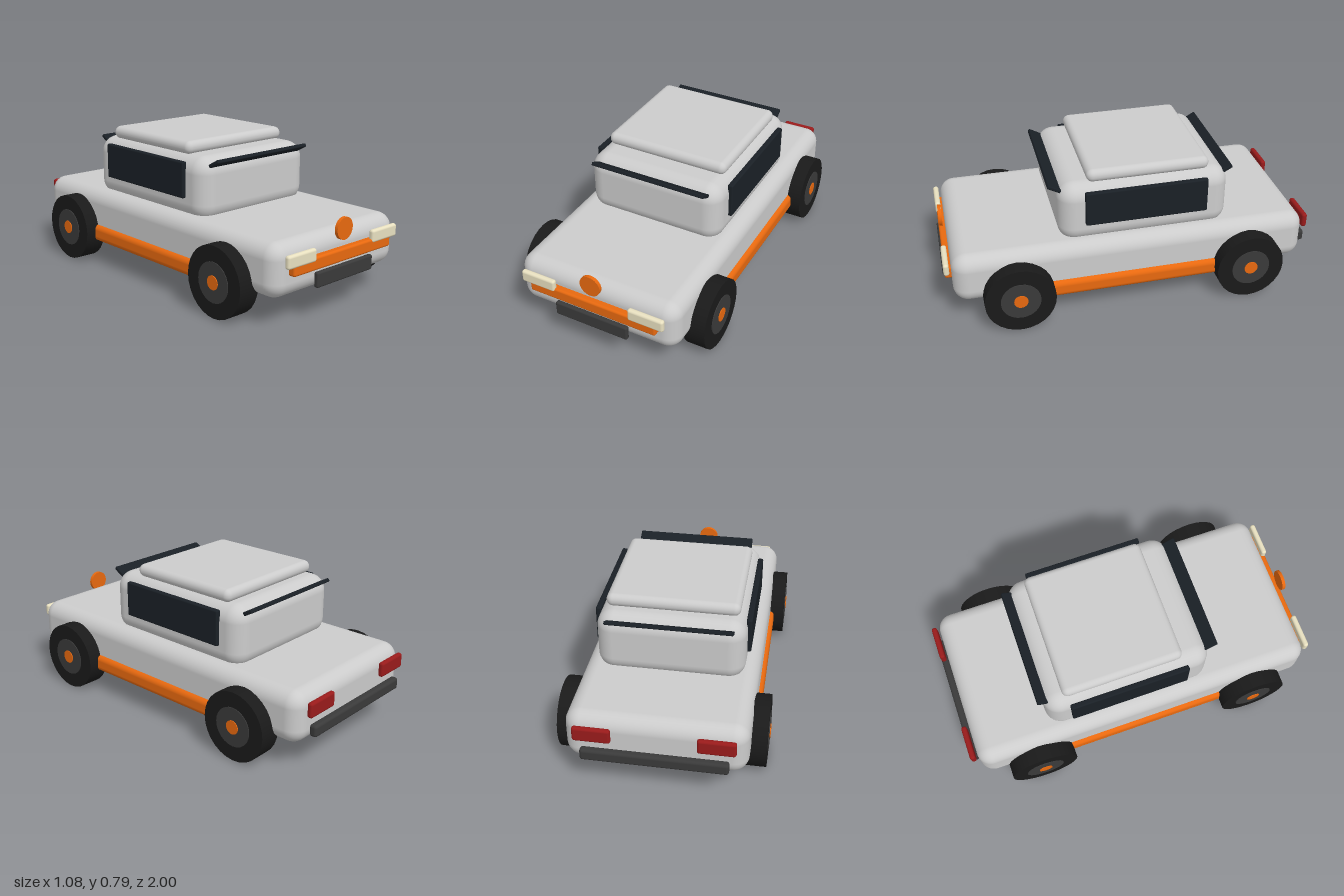
import * as THREE from 'three';
import { RoundedBoxGeometry } from 'three/addons/geometries/RoundedBoxGeometry.js';

const mat = (color) => new THREE.MeshStandardMaterial({ color });
const grey = mat(0xcccccc);
const orange = mat(0xe8690f);
const glass = mat(0x1a2026);
const rubber = mat(0x1a1a1a);
const darkGrey = mat(0x3a3a3a);
const cream = mat(0xe8e0c0);
const red = mat(0x991b1b);

export function createModel() {
  const root = new THREE.Group();
  root.name = 'car';

  const add = (name, geometry, material, parent = root) => {
    const mesh = new THREE.Mesh(geometry, material);
    mesh.name = name;
    parent.add(mesh);
    return mesh;
  };

  // Rounded box given by its [min, max] extent on each axis
  const block = (name, [x0, x1], [y0, y1], [z0, z1], radius, material, segments = 3) => {
    const geometry = new RoundedBoxGeometry(x1 - x0, y1 - y0, z1 - z0, segments, radius);
    const mesh = add(name, geometry, material);
    mesh.position.set((x0 + x1) / 2, (y0 + y1) / 2, (z0 + z1) / 2);
    return mesh;
  };

  // Bodywork
  block('body', [-0.455, 0.455], [0.147, 0.423], [-0.953, 0.955], 0.08, grey, 6);
  block('cabin', [-0.385, 0.385], [0.385, 0.725], [-0.53, 0.385], 0.09, grey, 6);
  block('roof', [-0.345, 0.345], [0.717, 0.787], [-0.424, 0.23], 0.034, grey, 5);
  block('underbodySkirt', [-0.477, 0.477], [0.13, 0.225], [-0.77, 0.77], 0.03, orange, 4);

  // Front trim
  block('grille', [-0.36, 0.36], [0.265, 0.332], [0.945, 0.99], 0.012, orange);
  block('frontBumper', [-0.207, 0.207], [0.177, 0.256], [0.973, 1.0], 0.01, darkGrey);
  const badge = add('frontDisc', new THREE.CylinderGeometry(0.057, 0.057, 0.018, 32), orange);
  badge.rotation.x = Math.PI / 2;
  badge.position.set(0, 0.43, 0.976);

  // Rear trim
  block('rearBumper', [-0.367, 0.367], [0.193, 0.257], [-1.0, -0.958], 0.015, darkGrey);

  // Sloping screens that rise outwards from the cabin
  const screen = (name, tipZ, tipY) => {
    const length = 0.16, angle = 0.5, side = Math.sign(tipZ);
    const mesh = add(name, new RoundedBoxGeometry(0.653, 0.02, length, 2, 0.006), glass);
    mesh.rotation.x = -side * angle;
    mesh.position.set(0, tipY - Math.sin(angle) * length / 2,
      tipZ - side * Math.cos(angle) * length / 2);
  };
  screen('windscreen', 0.43, 0.716);
  screen('rearScreen', -0.558, 0.711);

  // Wheel with its axle along x, built for the left side and turned for the right
  const wheel = (name, side, z) => {
    const group = new THREE.Group();
    group.name = name;
    const disc = (part, radius, inner, outer, material, sides) => {
      const geometry = new THREE.CylinderGeometry(radius, radius, outer - inner, sides);
      geometry.rotateZ(-Math.PI / 2);
      add(part, geometry, material, group).position.x = (inner + outer) / 2 - 0.475;
    };
    disc('tyre', 0.186, 0.416, 0.533, rubber, 28);
    disc('rim', 0.105, 0.42, 0.537, darkGrey, 24);
    disc('hubCap', 0.037, 0.45, 0.541, orange, 20);
    group.position.set(side * 0.475, 0.186, z);
    if (side < 0) group.rotation.y = Math.PI;
    root.add(group);
  };

  // Paired parts
  for (const [label, side] of [['left', 1], ['right', -1]]) {
    const span = (a, b) => (side > 0 ? [a, b] : [-b, -a]);
    block(label + 'SideWindow', span(0.375, 0.405), [0.504, 0.695], [-0.402, 0.25], 0.008, glass);
    block(label + 'Headlight', span(0.209, 0.405), [0.311, 0.378], [0.965, 0.995], 0.013, cream);
    block(label + 'TailLight', span(0.21, 0.4), [0.306, 0.386], [-0.994, -0.964], 0.013, red);
    wheel(label + 'FrontWheel', side, 0.625);
    wheel(label + 'RearWheel', side, -0.625);
  }

  return root;
}
